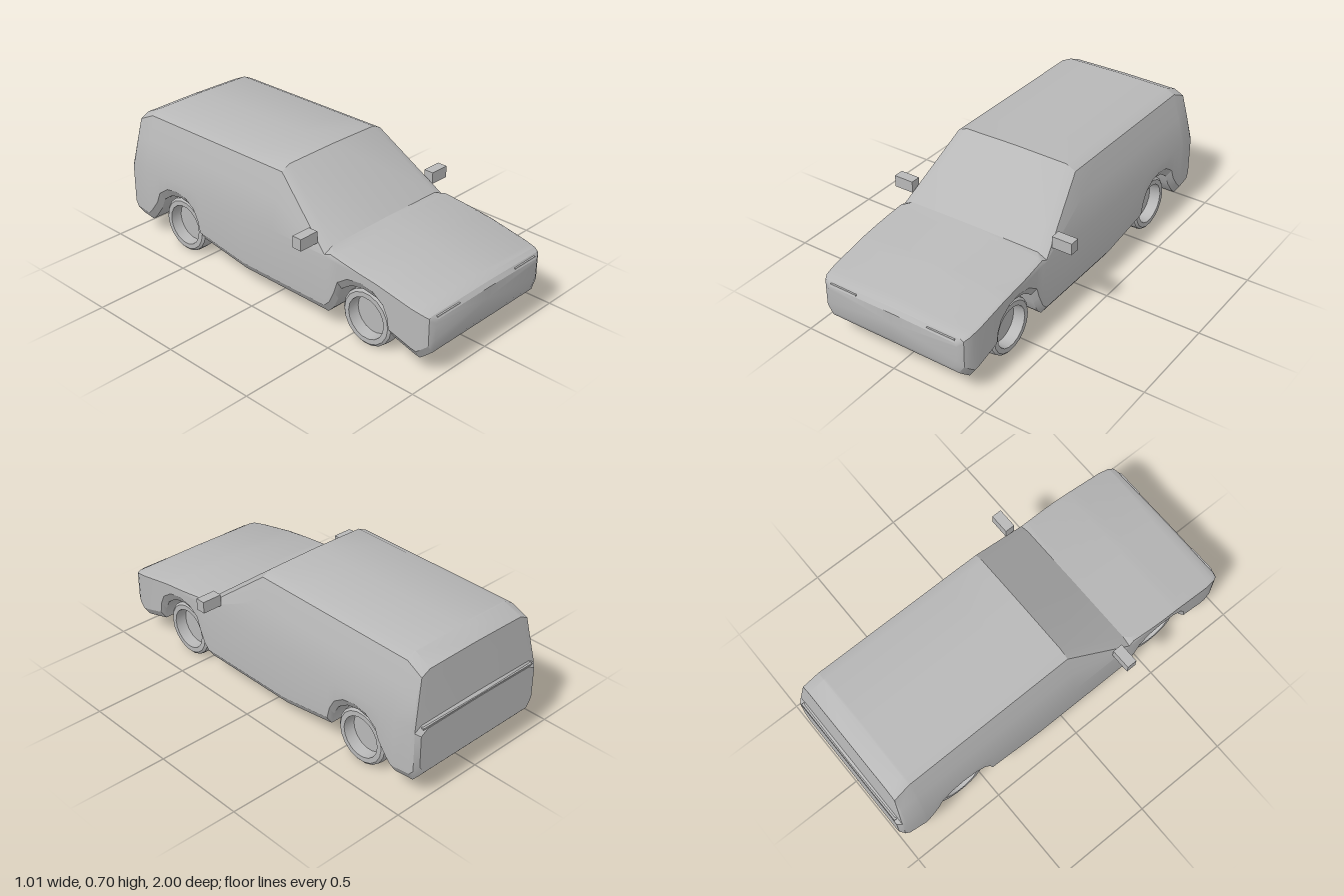
import * as THREE from 'three';
import { toCreasedNormals } from 'three/addons/utils/BufferGeometryUtils.js';

// Piecewise linear lookup in a list of [key, value] with falling keys
function along(table, k) {
  if (k >= table[0][0]) return table[0][1];
  for (let i = 1; i < table.length; i++) {
    const [a, u] = table[i - 1], [b, v] = table[i];
    if (k >= b) return u + (v - u) * (a - k) / (a - b);
  }
  return table[table.length - 1][1];
}

// Height of bonnet, windscreen, roof and tail along z
const TOP = [[1, 0.315], [0.985, 0.335], [0.96, 0.346], [0.7, 0.395], [0.39, 0.433], [0.05, 0.7],
  [-0.87, 0.692], [-0.958, 0.65], [-0.98, 0.4], [-1, 0.385]];
// Underside with a well across the car at each axle
const BOTTOM = [[1, 0.17], [0.985, 0.14], [0.93, 0.095], [0.775, 0.14], [0.765, 0.2], [0.74, 0.25], [0.68, 0.292],
  [0.605, 0.305], [0.53, 0.292], [0.47, 0.25], [0.45, 0.19], [0.42, 0.125], [0.39, 0.095], [-0.16, 0.095],
  [-0.46, 0.14], [-0.475, 0.2], [-0.505, 0.255], [-0.56, 0.292], [-0.63, 0.305], [-0.7, 0.292], [-0.76, 0.25],
  [-0.785, 0.19], [-0.83, 0.13], [-0.86, 0.1], [-0.958, 0.1], [-0.98, 0.125], [-1, 0.15]];
const WIDTH = [[1, 0.36], [0.985, 0.388], [0.96, 0.4], [0.9, 0.407], [0.6, 0.41], [-0.87, 0.41], [-0.958, 0.4],
  [-0.98, 0.395], [-1, 0.375]];
// Half width of the cabin by height
const TUMBLE = [[0.7, 0.325], [0.67, 0.335], [0.55, 0.375], [0.44, 0.395], [0.4, 0.41]];

function section(z) {
  const yt = along(TOP, z), yb = along(BOTTOM, z), w = along(WIDTH, z);
  const x = y => along(TUMBLE, y) * w / 0.41;
  const hood = z > 0.4;
  const beltY = Math.min(0.4, yt - 0.035);
  const edgeY = yt - (hood ? 0.012 : 0.028);
  const midY = beltY + (edgeY - beltY) * 0.55;
  const lowY = Math.min(yb + 0.045, beltY - 0.005);
  const half = [[w - 0.03, yb], [w, lowY], [w, beltY], [x(midY), midY], [x(edgeY), edgeY],
    [x(yt) - (hood ? 0.015 : 0.04), yt - 0.004]];
  return [[0, yb], ...half, [0, yt], ...half.map(([a, b]) => [-a, b]).reverse()]
    .map(([a, b]) => new THREE.Vector3(a, b, z));
}

// Body shell lofted through the sections from nose to tail
function bodyGeometry() {
  const stations = [...new Set([...TOP, ...BOTTOM, ...WIDTH].map(p => p[0]))].sort((a, b) => b - a);
  const rings = stations.map(section);
  const n = rings[0].length, pts = [];
  for (let i = 0; i + 1 < rings.length; i++) {
    for (let j = 0; j < n; j++) {
      const k = (j + 1) % n;
      const a = rings[i][j], b = rings[i][k], c = rings[i + 1][k], d = rings[i + 1][j];
      pts.push(a, d, c, a, c, b);
    }
  }
  const cap = (ring, front) => {
    const mid = ring.reduce((s, p) => s.add(p), new THREE.Vector3()).divideScalar(n);
    ring.forEach((p, j) => {
      const q = ring[(j + 1) % n];
      pts.push(mid, ...(front ? [p, q] : [q, p]));
    });
  };
  cap(rings[0], true);
  cap(rings[rings.length - 1], false);
  return toCreasedNormals(new THREE.BufferGeometry().setFromPoints(pts), 0.5);
}

// Tyre with a dished outer face, axis along y
function wheelGeometry() {
  const profile = [[0, -0.045], [0.105, -0.045], [0.13, -0.048], [0.142, -0.038], [0.145, -0.02], [0.145, 0.02],
    [0.142, 0.038], [0.13, 0.048], [0.105, 0.048], [0.1, -0.01], [0, -0.01]].map(p => new THREE.Vector2(...p));
  return toCreasedNormals(new THREE.LatheGeometry(profile, 18), 0.6);
}

export function createModel() {
  const car = new THREE.Group();
  car.name = 'car';
  const grey = new THREE.MeshStandardMaterial({ color: 0xb8b8b8 });
  grey.name = 'plain grey';
  const add = (name, geometry, x = 0, y = 0, z = 0) => {
    const mesh = new THREE.Mesh(geometry, grey);
    mesh.name = name;
    mesh.position.set(x, y, z);
    car.add(mesh);
    return mesh;
  };

  add('body', bodyGeometry());
  // Ridge across the tailgate
  add('tailgateRidge', new THREE.BoxGeometry(0.72, 0.008, 0.02), 0, 0.386, -0.988);

  const wheel = wheelGeometry();
  for (const side of [1, -1]) {
    const label = side > 0 ? 'left' : 'right';
    for (const [end, z] of [['Front', 0.605], ['Rear', -0.63]]) {
      add(label + end + 'Wheel', wheel, side * 0.317, 0.145, z).rotation.z = -side * Math.PI / 2;
    }
    add(label + 'Mirror', new THREE.BoxGeometry(0.105, 0.06, 0.052), side * 0.4525, 0.47, 0.312);
    // Slim lamp brow on the nose
    add(label + 'HeadlampBrow', new THREE.BoxGeometry(0.15, 0.006, 0.009), side * 0.272, 0.322, 0.994);
  }
  return car;
}
